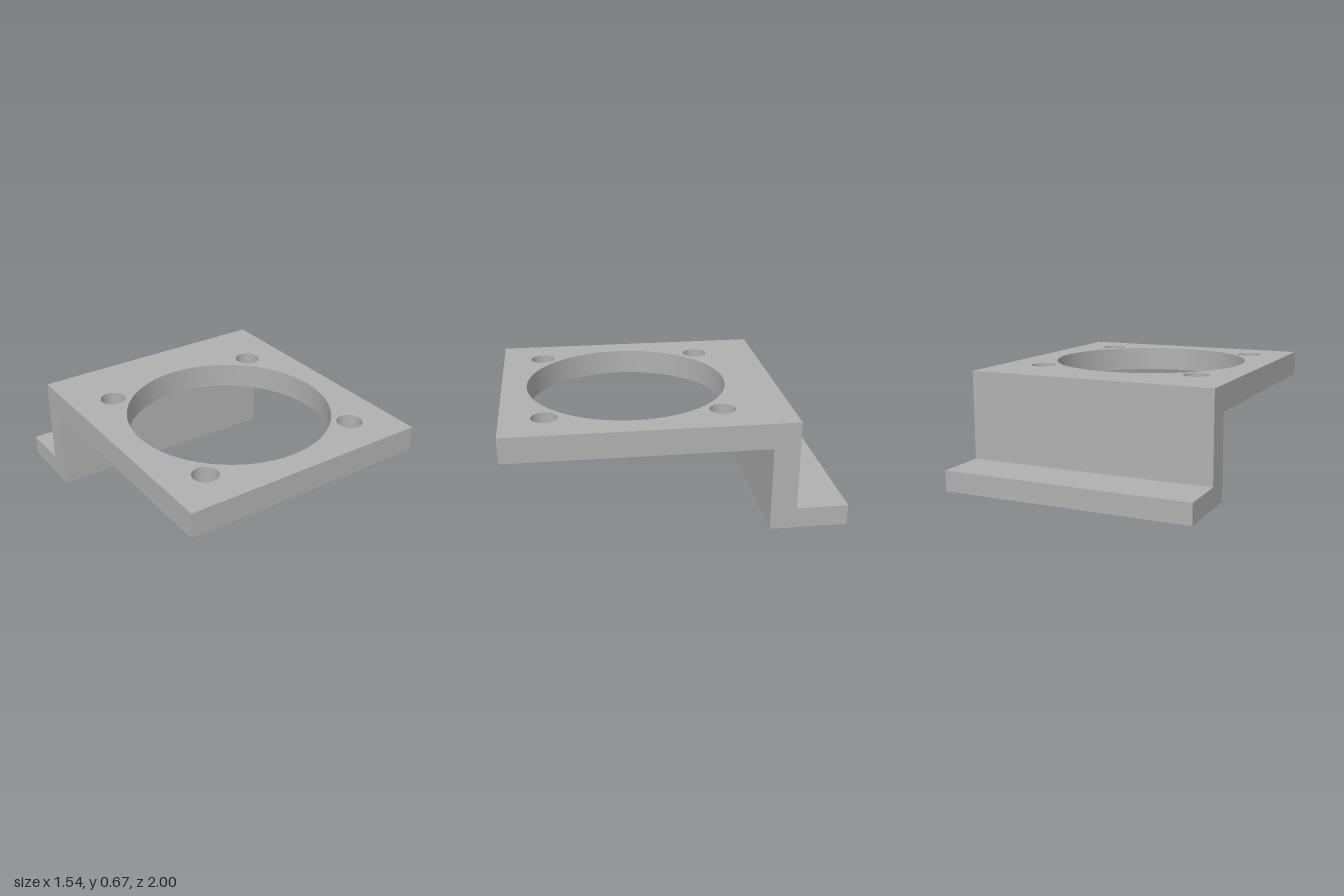
import * as THREE from 'three';
import { toCreasedNormals } from 'three/addons/utils/BufferGeometryUtils.js';

const HALF_WIDTH = 0.77;
const BACK = -0.69, FRONT = 1;      // ends of the raised plate along z
const PLATE_BOTTOM = 0.515, PLATE_TOP = 0.67;

export function createModel() {
  const group = new THREE.Group();
  group.name = 'mountingBracket';
  const grey = new THREE.MeshStandardMaterial({ color: 0xb0b0b0 });
  grey.name = 'grey';

  const add = (name, geometry) => {
    const mesh = new THREE.Mesh(toCreasedNormals(geometry, 0.5), grey);
    mesh.name = name;
    group.add(mesh);
  };

  // Raised plate, drawn flat with shape y = -z
  const plate = new THREE.Shape([
    [-HALF_WIDTH, -FRONT], [HALF_WIDTH, -FRONT], [HALF_WIDTH, -BACK], [-HALF_WIDTH, -BACK],
  ].map(([x, y]) => new THREE.Vector2(x, y)));
  const addHole = (x, z, radius) =>
    plate.holes.push(new THREE.Path().absarc(x, -z, radius, 0, Math.PI * 2, true));

  // Large central opening and four screw holes
  addHole(0, 0.23, 0.616);
  for (const x of [-0.513, 0.513]) {
    for (const z of [-0.285, 0.743]) addHole(x, z, 0.077);
  }
  const plateGeometry = new THREE.ExtrudeGeometry(plate, {
    depth: PLATE_TOP - PLATE_BOTTOM, bevelEnabled: false, curveSegments: 32,
  });
  plateGeometry.rotateX(-Math.PI / 2).translate(0, PLATE_BOTTOM, 0);
  add('raisedPlate', plateGeometry);

  // Upright wall with rear foot: a (z, y) profile extruded across the width
  const profile = new THREE.Shape([
    [-1, 0], [-0.535, 0], [-0.535, PLATE_BOTTOM], [BACK, PLATE_BOTTOM], [BACK, 0.125], [-1, 0.125],
  ].map(([z, y]) => new THREE.Vector2(z, y)));
  const wallGeometry = new THREE.ExtrudeGeometry(profile, {
    depth: HALF_WIDTH * 2, bevelEnabled: false,
  });
  wallGeometry.rotateY(-Math.PI / 2).translate(HALF_WIDTH, 0, 0);
  add('wallAndFoot', wallGeometry);

  return group;
}
